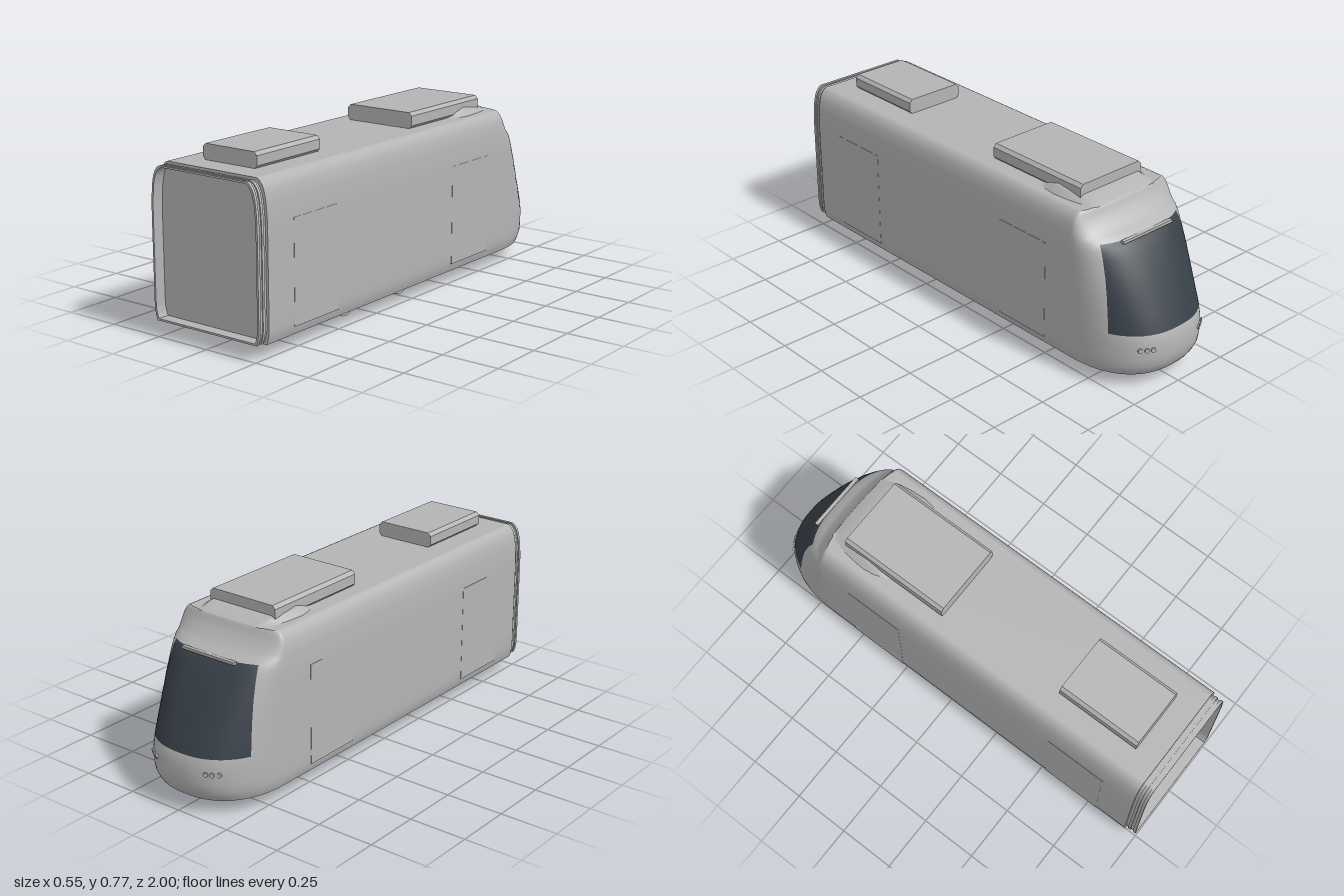
import * as THREE from 'three';

// shell levels: height, half width, z of the nose tip
const LEVELS = [
  [0.06, 0.262, -0.965], [0.08, 0.269, -0.98], [0.105, 0.274, -0.993], [0.14, 0.275, -1], [0.2, 0.275, -1],
  [0.245, 0.275, -0.987], [0.32, 0.275, -0.953], [0.39, 0.275, -0.92], [0.46, 0.275, -0.885], [0.53, 0.2745, -0.843],
  [0.565, 0.273, -0.818], [0.588, 0.271, -0.797], [0.605, 0.2695, -0.76], [0.62, 0.268, -0.74], [0.64, 0.264, -0.72],
  [0.66, 0.259, -0.703], [0.675, 0.252, -0.694], [0.687, 0.243, -0.688], [0.695, 0.235, -0.684], [0.699, 0.225, -0.68],
];
const Z0 = -0.65, Z_END = 0.95, POWER = 2.4;
const GLASS_LOW = 0.245, GLASS_HIGH = 0.588, SIDE_STEPS = 8, FRONT_STEPS = 10;

// plan outline at one level, from the left end round the nose to the right end
function planRow([y, w, tip]) {
  const t = THREE.MathUtils.clamp((y - GLASS_LOW) / (GLASS_HIGH - GLASS_LOW), 0, 1);
  const edge = Math.asin(Math.pow(0.57 + 0.14 * t, POWER / 2));
  const half = [[w, Z_END]];
  for (let i = 0; i <= SIDE_STEPS + FRONT_STEPS; i++) {
    const a = i <= SIDE_STEPS ? edge * i / SIDE_STEPS
      : edge + (Math.PI / 2 - edge) * (i - SIDE_STEPS) / FRONT_STEPS;
    half.push([w * Math.pow(Math.max(0, Math.cos(a)), 2 / POWER), Z0 + (tip - Z0) * Math.pow(Math.sin(a), 2 / POWER)]);
  }
  half[half.length - 1][0] = 0;
  const other = half.slice(0, -1).reverse().map(([x, z]) => [-x, z]);
  return [...half, ...other].map(([x, z]) => new THREE.Vector3(x, y, z));
}

// grid of rows; pick(row, column) gives the material index
function gridGeometry(rows, pick = () => 0) {
  const n = rows[0].length, faces = [[], []];
  for (let j = 0; j < rows.length - 1; j++) {
    for (let i = 0; i < n - 1; i++) {
      const a = j * n + i, b = a + 1, c = a + n, d = c + 1;
      faces[pick(j, i)].push(a, b, d, a, d, c);
    }
  }
  const geo = new THREE.BufferGeometry().setFromPoints(rows.flat());
  geo.setIndex([...faces[0], ...faces[1]]);
  geo.addGroup(0, faces[0].length, 0);
  geo.addGroup(faces[0].length, faces[1].length, 1);
  geo.computeVertexNormals();
  return geo;
}

// car section outline, pulled in by an inset
function sectionPoints(inset) {
  const right = LEVELS.map(([y, w]) => new THREE.Vector2(w - inset, 0.38 + (y - 0.38) * (1 - inset / 0.32)));
  const left = right.slice().reverse().map((p) => new THREE.Vector2(-p.x, p.y));
  return [...right, ...left];
}

// box outline with cut corners
function cutBox(w, y0, y1, c) {
  return new THREE.Shape([[w - c, y0], [w, y0 + c], [w, y1 - c], [w - c, y1], [c - w, y1], [-w, y1 - c], [-w, y0 + c], [c - w, y0]]
    .map(([x, y]) => new THREE.Vector2(x, y)));
}

export function createModel() {
  const group = new THREE.Group();
  const paint = new THREE.MeshStandardMaterial({ color: 0xb4b4b4 });
  paint.name = 'greyBody';
  const glass = new THREE.MeshStandardMaterial({ color: 0x384048 });
  glass.name = 'darkGlass';
  const add = (name, geo, mat = paint, x = 0, y = 0, z = 0) => {
    const mesh = new THREE.Mesh(geo, mat);
    mesh.name = name;
    mesh.position.set(x, y, z);
    group.add(mesh);
    return mesh;
  };

  // body shell with the windscreen as its own faces
  const rows = LEVELS.map(planRow);
  const last = rows[0].length - 2;
  const isGlass = (j, i) => {
    const y = LEVELS[j][0];
    return y >= GLASS_LOW && y < GLASS_HIGH && i > SIDE_STEPS && i < last - SIDE_STEPS ? 1 : 0;
  };
  add('bodyShell', gridGeometry(rows, isGlass), [paint, glass]);

  // roof, floor and end wall
  const flat = (row, s) => new THREE.ShapeGeometry(new THREE.Shape(row.map((p) => new THREE.Vector2(p.x, s * p.z))))
    .rotateX(s * Math.PI / 2);
  add('roof', flat(rows[rows.length - 1], -1), paint, 0, 0.699, 0);
  add('floor', flat(rows[0], 1), paint, 0, 0.06, 0);
  add('endWall', new THREE.ShapeGeometry(new THREE.Shape(sectionPoints(0))), paint, 0, 0, Z_END);

  // hollow gangway bellows made of stepped ribs
  for (let i = 0; i < 4; i++) {
    const shape = new THREE.Shape(sectionPoints(i % 2 ? 0.007 : 0.011));
    shape.holes.push(new THREE.Path(sectionPoints(0.015)));
    add('bellowsRib', new THREE.ExtrudeGeometry(shape, { depth: 0.0125, bevelEnabled: false }), paint, 0, 0, Z_END + i * 0.0125);
  }

  // roof equipment boxes
  for (const [w, top, z, depth] of [[0.137, 0.764, 0.47, 0.375], [0.167, 0.767, -0.6, 0.5]]) {
    const geo = new THREE.ExtrudeGeometry(cutBox(w, 0.697, top, 0.014), { depth, bevelEnabled: false });
    add('roofBox', geo, paint, 0, 0, z);
  }

  // low fairing round the forward roof box: z, half width, height
  const fairing = [[-0.68, 0.16, 0], [-0.65, 0.172, 0.012], [-0.61, 0.185, 0.023], [-0.55, 0.195, 0.03],
    [-0.48, 0.2, 0.036], [-0.43, 0.192, 0.027], [-0.4, 0.18, 0.014], [-0.37, 0.165, 0]];
  add('roofFairing', gridGeometry(fairing.map(([z, w, h]) =>
    [[-w, 0], [-w + 0.02, 0.6], [-w + 0.036, 1], [w - 0.036, 1], [w - 0.02, 0.6], [w, 0]]
      .map(([x, k]) => new THREE.Vector3(x, 0.699 + h * k, z))).reverse()));

  // bogie: wheels, axles and frame
  for (const z of [0.355, -0.02]) {
    for (const s of [-1, 1]) {
      add('wheel', new THREE.CylinderGeometry(0.06, 0.06, 0.025, 32).rotateZ(Math.PI / 2), paint, s * 0.158, 0.06, z);
    }
    add('axle', new THREE.CylinderGeometry(0.006, 0.006, 0.3, 12).rotateZ(Math.PI / 2), paint, 0, 0.06, z);
  }
  add('bogieFrame', new THREE.BoxGeometry(0.29, 0.006, 0.375), paint, 0, 0.059, 0.1675);

  // door panels on both sides
  for (const s of [-1, 1]) {
    for (const [z0, z1] of [[0.53, 0.8], [-0.52, -0.25]]) {
      add('doorPanel', new THREE.BoxGeometry(0.004, 0.43, z1 - z0), paint, s * 0.2738, 0.31, (z0 + z1) / 2);
    }
  }

  // trios of small lamps on the nose
  for (const s of [-1, 1]) {
    for (const x of [0.128, 0.15, 0.172]) {
      const z = Z0 - 0.35 * Math.pow(1 - Math.pow(x / 0.275, POWER), 1 / POWER);
      const lamp = add('headlamp', new THREE.CylinderGeometry(0.01, 0.01, 0.012, 16).rotateX(Math.PI / 2), paint, s * x, 0.185, z);
      lamp.rotation.y = -s * 0.45;
    }
  }

  // slim bar over the windscreen
  add('windscreenBar', new THREE.BoxGeometry(0.27, 0.012, 0.016), paint, 0, 0.588, -0.8);
  return group;
}
